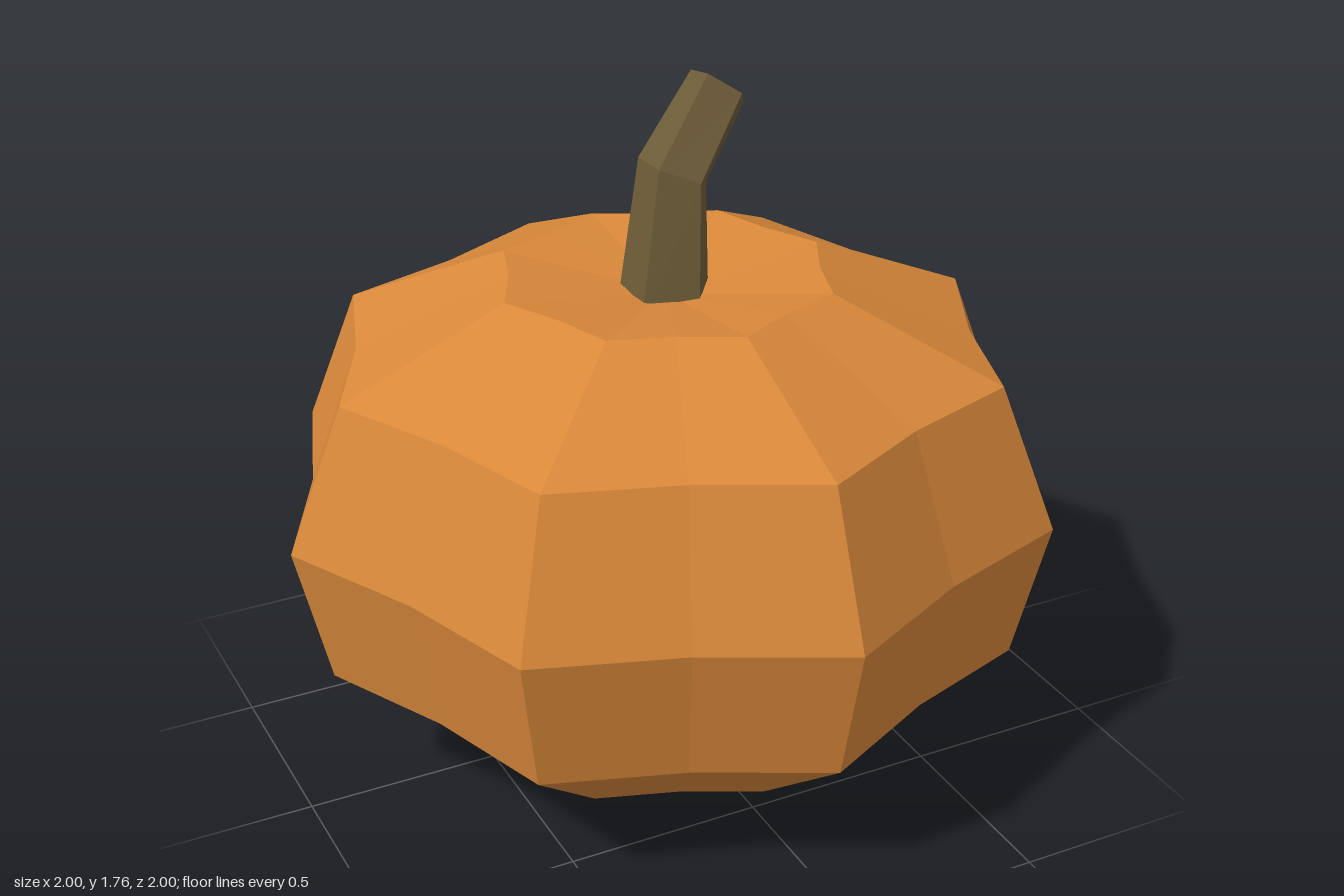
import * as THREE from 'three';

// Faceted normals for a low-poly look
function faceted(geometry) {
  const g = geometry.index ? geometry.toNonIndexed() : geometry;
  g.computeVertexNormals();
  return g;
}

// Ribbed body: a lathe whose every second meridian is pulled inward
function bodyGeometry() {
  const profile = [
    [0, 0], [0.55, 0.08], [0.915, 0.37], [1, 0.735],
    [0.855, 1.1], [0.428, 1.283], [0, 1.225],
  ].map(([r, y]) => new THREE.Vector2(r, y));
  const g = new THREE.LatheGeometry(profile, 16);
  const pos = g.attributes.position;
  for (let i = 0; i < pos.count; i++) {
    const meridian = Math.floor(i / profile.length);
    const k = meridian % 2 ? 0.897 : 1;
    pos.setXYZ(i, pos.getX(i) * k, pos.getY(i), pos.getZ(i) * k);
  }
  return faceted(g);
}

// Five-sided bent stem, lofted through three cross-sections with a cap on the tip
function stemGeometry() {
  const rings = [
    [[0.12, 1.2, 0], [0.043, 1.2, 0.105], [-0.095, 1.2, 0.068], [-0.095, 1.2, -0.07], [0.037, 1.2, -0.11]],
    [[0.122, 1.49, -0.02], [0.062, 1.525, 0.07], [-0.033, 1.565, 0.035], [-0.033, 1.56, -0.08], [0.06, 1.51, -0.115]],
    [[0.247, 1.66, -0.065], [0.205, 1.712, 0.005], [0.13, 1.762, -0.03], [0.135, 1.742, -0.13], [0.205, 1.68, -0.147]],
  ];
  const n = 5;
  const index = [];
  for (let r = 0; r < rings.length - 1; r++) {
    for (let k = 0; k < n; k++) {
      const a = r * n + k, b = r * n + (k + 1) % n;
      index.push(b, a, a + n, b, a + n, b + n);
    }
  }
  const tip = (rings.length - 1) * n;
  for (let k = 1; k < n - 1; k++) index.push(tip, tip + k + 1, tip + k);
  const g = new THREE.BufferGeometry();
  g.setAttribute('position', new THREE.Float32BufferAttribute(rings.flat(2), 3));
  g.setIndex(index);
  return faceted(g);
}

export function createModel() {
  const orange = new THREE.MeshStandardMaterial({ color: 0xd9883a });
  orange.name = 'orange skin';
  const brown = new THREE.MeshStandardMaterial({ color: 0x6e5c38 });
  brown.name = 'stem brown';

  const group = new THREE.Group();
  group.name = 'pumpkin';

  const body = new THREE.Mesh(bodyGeometry(), orange);
  body.name = 'body';
  const stem = new THREE.Mesh(stemGeometry(), brown);
  stem.name = 'stem';
  group.add(body, stem);
  return group;
}
